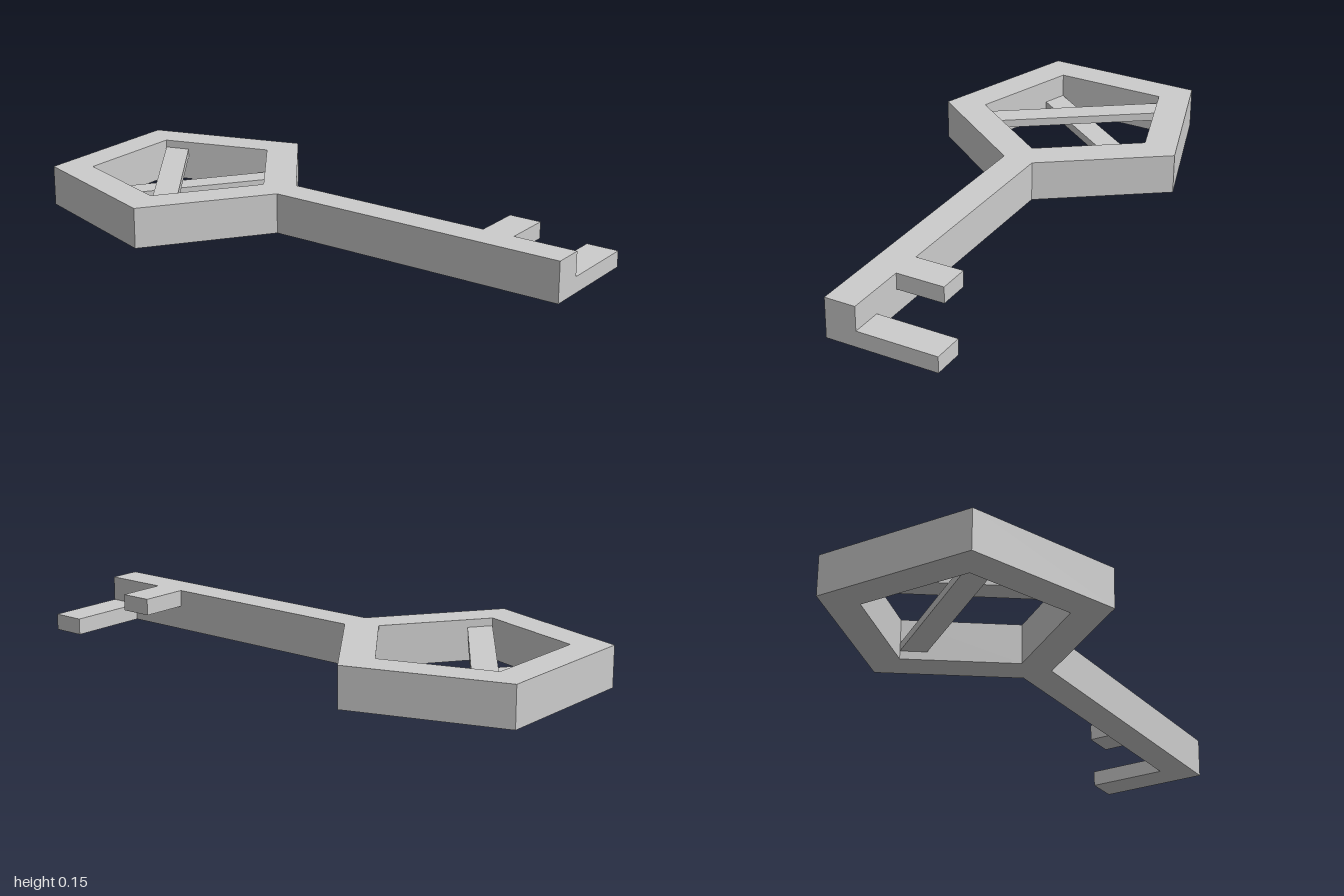
import * as THREE from 'three';

const H = 0.148;          // overall thickness
const W = 0.057;          // half width of the shaft
const R = 0.5, RI = 0.354; // outer and inner radius of the pentagon bow
const CZ = -1 + R * Math.cos(Math.PI / 5);

// Corner of a pentagon that points towards +z, as (x, z)
function corner(radius, i) {
  const a = (i * 2 * Math.PI) / 5;
  return new THREE.Vector2(radius * Math.sin(a), CZ + radius * Math.cos(a));
}

// Flat plate: outline given in (x, z), filling bottom..top in y
function plate(shape, bottom, top) {
  const geo = new THREE.ExtrudeGeometry(shape, { depth: top - bottom, bevelEnabled: false });
  geo.rotateX(Math.PI / 2);
  geo.translate(0, top, 0);
  return geo;
}

export function createModel() {
  const group = new THREE.Group();
  const material = new THREE.MeshStandardMaterial({ color: 0xcccccc, flatShading: true });
  const add = (name, geo) => {
    const mesh = new THREE.Mesh(geo, material);
    mesh.name = name;
    group.add(mesh);
  };

  // Pentagonal bow and shaft in one outline; the hole winds the other way
  const neckZ = CZ + R - W * Math.tan(Math.PI / 5);
  const outline = new THREE.Shape([
    new THREE.Vector2(-W, 1),
    new THREE.Vector2(W, 1),
    new THREE.Vector2(W, neckZ),
    ...[1, 2, 3, 4].map((i) => corner(R, i)),
    new THREE.Vector2(-W, neckZ),
  ]);
  outline.holes.push(new THREE.Path([4, 3, 2, 1, 0].map((i) => corner(RI, i))));
  add('bowAndShaft', plate(outline, 0, H));

  // Crossing bars, one above the other, with ends sunk into the bow
  const barWidth = 0.088, sink = 0.05;
  for (const [name, from, to, side, y] of [
    ['upperCrossBar', 4, 2, 1, 0.09],
    ['lowerCrossBar', 1, 3, -1, 0.03],
  ]) {
    const a = corner(RI, from), b = corner(RI, to);
    const dir = b.clone().sub(a).normalize();
    const across = new THREE.Vector2(-dir.y, dir.x).multiplyScalar(side * barWidth);
    a.addScaledVector(dir, -sink);
    b.addScaledVector(dir, sink);
    const bar = new THREE.Shape([a, b, b.clone().add(across), a.clone().add(across)]);
    add(name, plate(bar, y, y + 0.03));
  }

  // Two teeth: a short one flush with the top, a long one flush with the bottom
  for (const [name, x, y0, y1, z0, z1] of [
    ['shortTooth', 0.235, 0.088, H, 0.645, 0.764],
    ['longTooth', 0.355, 0, 0.059, 0.881, 1],
  ]) {
    const geo = new THREE.BoxGeometry(x - W, y1 - y0, z1 - z0);
    geo.translate((x + W) / 2, (y0 + y1) / 2, (z0 + z1) / 2);
    add(name, geo);
  }

  return group;
}
